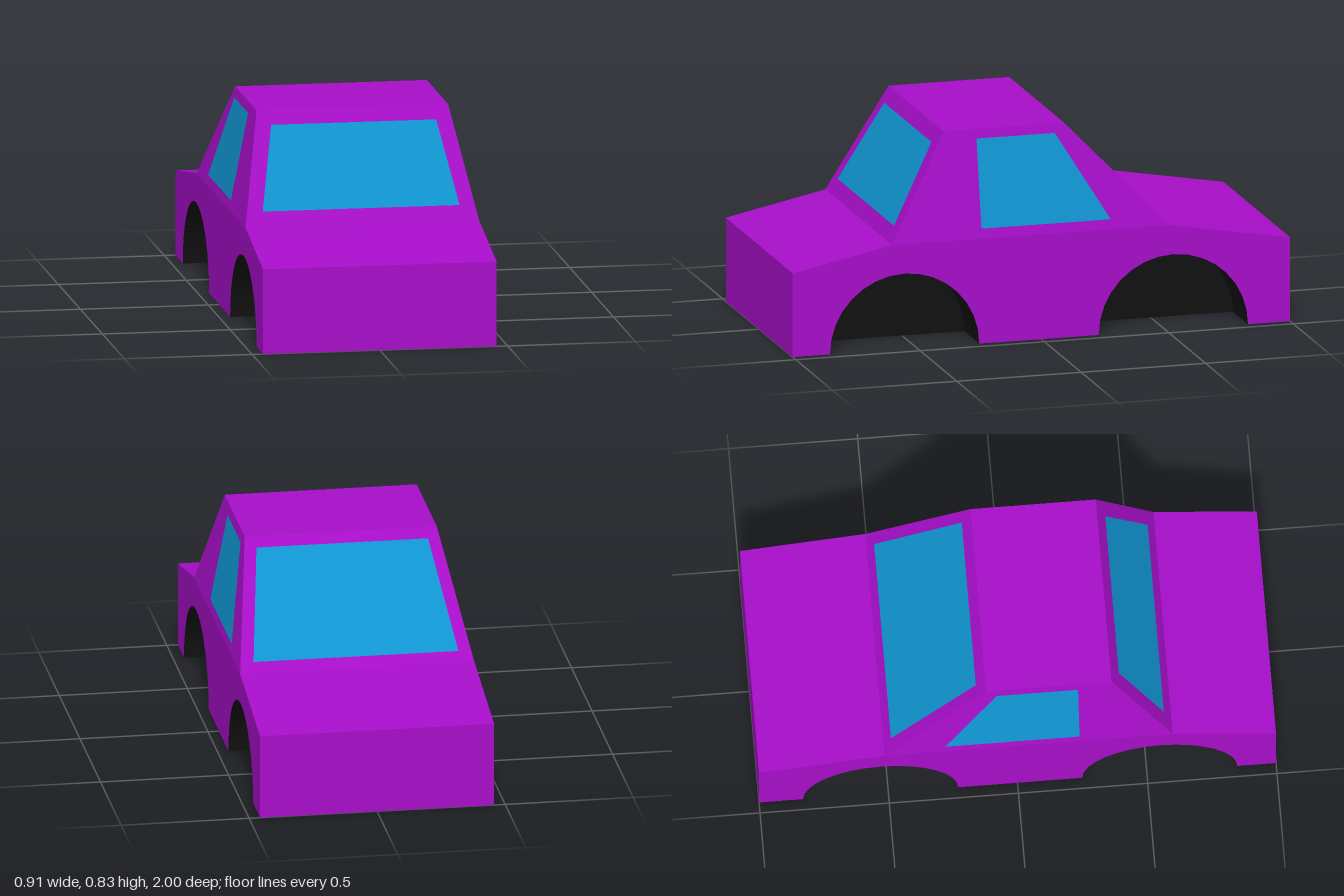
import * as THREE from 'three';

const W = 0.457, ROOF_W = 0.375;           // half widths at the waist and roof
const SILL = 0.333, WAIST = 0.417, ROOF = 0.833;
const WELL_R = 0.3, WELL_IN = 0.25;        // wheel arch radius, inner wall position
const WELLS = [0.55, -0.53];               // wheel arch centres along z
const ARC = 16;

const paint = new THREE.MeshStandardMaterial({ color: 0xa60ec8 });
const glass = new THREE.MeshStandardMaterial({ color: 0x1094d0 });
const black = new THREE.MeshStandardMaterial({ color: 0x111111 });
const blackInside = new THREE.MeshStandardMaterial({ color: 0x111111, side: THREE.BackSide });

// Flat convex panel facing away from the car's middle, raised by lift along its normal
function panel(name, corners, material, lift = 0) {
  let pts = corners.map(c => new THREE.Vector3(...c));
  const normal = new THREE.Vector3().crossVectors(
    pts[1].clone().sub(pts[0]), pts[2].clone().sub(pts[0])).normalize();
  if (normal.dot(pts[0].clone().sub(new THREE.Vector3(0, 0.3, 0))) < 0) {
    pts.reverse();
    normal.negate();
  }
  pts = pts.map(p => p.addScaledVector(normal, lift));
  const fan = [];
  for (let i = 1; i < pts.length - 1; i++) fan.push(pts[0], pts[i], pts[i + 1]);
  const geo = new THREE.BufferGeometry().setFromPoints(fan);
  geo.computeVertexNormals();
  const mesh = new THREE.Mesh(geo, material);
  mesh.name = name;
  return mesh;
}

// Panel spanning the car symmetrically: each end is [half width, y, z]
function across(name, [wa, ya, za], [wb, yb, zb], material = paint, lift = 0) {
  return panel(name, [[-wa, ya, za], [wa, ya, za], [wb, yb, zb], [-wb, yb, zb]], material, lift);
}

// Lower side wall with both wheel arches cut out
function sideWall(s) {
  const pts = [[1, 0]];
  for (const c of WELLS) {
    for (let i = 0; i <= ARC; i++) {
      const a = Math.PI * i / ARC;
      pts.push([c + WELL_R * Math.cos(a), WELL_R * Math.sin(a)]);
    }
  }
  pts.push([-1, 0], [-1, SILL], [-0.515, WAIST], [0.6, WAIST], [1, SILL]);
  const shape = new THREE.Shape(pts.map(([z, y]) => new THREE.Vector2(-s * z, y)));
  const mesh = new THREE.Mesh(new THREE.ShapeGeometry(shape), paint);
  mesh.rotation.y = s * Math.PI / 2;
  mesh.position.x = s * W;
  mesh.name = 'sideWall';
  return mesh;
}

// Half-round wheel well, open below and outwards
function wheelWell(s, z) {
  const well = new THREE.Group();
  well.name = 'wheelWell';
  const liner = new THREE.Mesh(
    new THREE.CylinderGeometry(WELL_R, WELL_R, W - WELL_IN, ARC, 1, true, 0, Math.PI)
      .rotateZ(Math.PI / 2), blackInside);
  liner.name = 'wheelWellLiner';
  liner.position.set(s * (W + WELL_IN) / 2, 0, z);
  const wall = new THREE.Mesh(new THREE.CircleGeometry(WELL_R, ARC, 0, Math.PI), black);
  wall.name = 'wheelWellInnerWall';
  wall.rotation.y = s * Math.PI / 2;
  wall.position.set(s * WELL_IN, 0, z);
  well.add(liner, wall);
  return well;
}

export function createModel() {
  const car = new THREE.Group();
  car.name = 'car';

  // Body skin from nose to tail
  car.add(
    across('nose', [W, 0, 1], [W, SILL, 1]),
    across('hood', [W, SILL, 1], [W, WAIST, 0.6]),
    across('windshieldFrame', [W, WAIST, 0.6], [ROOF_W, ROOF, 0.37]),
    across('roof', [ROOF_W, ROOF, 0.37], [ROOF_W, ROOF, -0.115]),
    across('rearWindowFrame', [W, WAIST, -0.515], [ROOF_W, ROOF, -0.115]),
    across('trunkLid', [W, WAIST, -0.515], [W, SILL, -1]),
    across('tail', [W, SILL, -1], [W, 0, -1]),
    across('floor', [WELL_IN, 0, 1], [WELL_IN, 0, -1]));

  // Windshield and rear window
  const frontZ = y => 0.6 - 0.23 * (y - WAIST) / (ROOF - WAIST);
  const rearZ = y => -0.515 + 0.4 * (y - WAIST) / (ROOF - WAIST);
  car.add(
    across('windshield', [0.385, 0.473, frontZ(0.473)], [0.323, 0.779, frontZ(0.779)], glass, 0.003),
    across('rearWindow', [0.4, 0.45, rearZ(0.45)], [0.335, 0.797, rearZ(0.797)], glass, 0.003));

  // Both sides
  const floorStrips = [
    [1, WELLS[0] + WELL_R],
    [WELLS[0] - WELL_R, WELLS[1] + WELL_R],
    [WELLS[1] - WELL_R, -1]];
  for (const s of [1, -1]) {
    const side = new THREE.Group();
    side.name = s > 0 ? 'leftSide' : 'rightSide';
    const at = (y, z) => [s * (W - (W - ROOF_W) * (y - WAIST) / (ROOF - WAIST)), y, z];
    side.add(
      sideWall(s),
      panel('cabinSide', [at(WAIST, 0.6), at(WAIST, -0.515), at(ROOF, -0.115), at(ROOF, 0.37)], paint),
      panel('sideWindow', [at(0.455, 0.24), at(0.455, -0.28), at(0.797, -0.075), at(0.797, 0.24)], glass, 0.003));
    for (const z of WELLS) side.add(wheelWell(s, z));
    for (const [a, b] of floorStrips) {
      side.add(panel('floorStrip',
        [[s * WELL_IN, 0, a], [s * W, 0, a], [s * W, 0, b], [s * WELL_IN, 0, b]], paint));
    }
    car.add(side);
  }
  return car;
}
